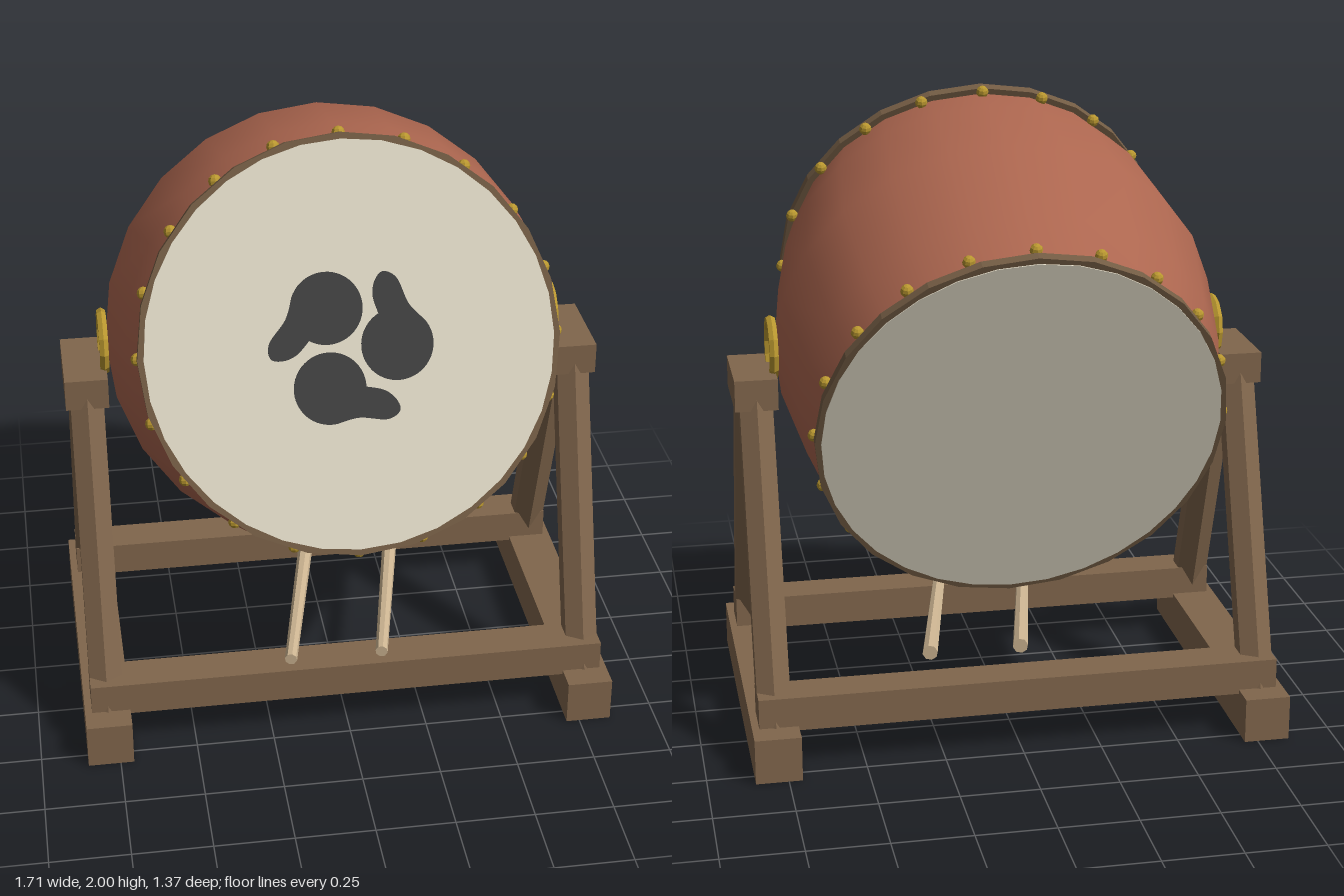
import * as THREE from 'three';

const mat = (name, color, flat = false) => {
  const m = new THREE.MeshStandardMaterial({ color, flatShading: flat });
  m.name = name;
  return m;
};

export function createModel() {
  const wood = mat('wood', 0x80664c, true);
  const rimWood = mat('rim wood', 0x725b43, true);
  const red = mat('red lacquer', 0xac664f);
  const skin = mat('drum skin', 0xe0d9c5);
  const ink = mat('ink', 0x404040);
  const gold = mat('brass', 0xb8962f, true);
  const pale = mat('pale wood', 0xcdb592, true);

  const model = new THREE.Group();
  model.name = 'drumOnStand';
  const add = (parent, name, geometry, material, x = 0, y = 0, z = 0) => {
    const mesh = new THREE.Mesh(geometry, material);
    mesh.name = name;
    mesh.position.set(x, y, z);
    parent.add(mesh);
    return mesh;
  };
  // Tapered rod between two points
  const rod = (parent, name, a, b, rA, rB, sides, material) => {
    const from = new THREE.Vector3(...a), to = new THREE.Vector3(...b);
    const dir = to.clone().sub(from);
    const mesh = add(parent, name, new THREE.CylinderGeometry(rB, rA, dir.length(), sides), material);
    mesh.position.copy(from).add(to).multiplyScalar(0.5);
    mesh.quaternion.setFromUnitVectors(new THREE.Vector3(0, 1, 0), dir.normalize());
    return mesh;
  };

  // Drum, its axis along local z, tilted upwards
  const drum = new THREE.Group();
  drum.name = 'drum';
  drum.position.y = 1.23;
  drum.rotation.x = -THREE.MathUtils.degToRad(20);
  model.add(drum);

  const profile = [[0.615, -0.475], [0.66, -0.32], [0.706, 0], [0.66, 0.32], [0.615, 0.475]]
    .map(([r, u]) => new THREE.Vector2(r, u));
  add(drum, 'barrel', new THREE.LatheGeometry(profile, 24).rotateX(Math.PI / 2), red);

  for (const s of [1, -1]) {
    const end = s > 0 ? 'front' : 'back';
    add(drum, end + 'Rim', new THREE.CylinderGeometry(0.636, 0.636, 0.03, 24).rotateX(Math.PI / 2), rimWood, 0, 0, s * 0.485);
    add(drum, end + 'Head', new THREE.CylinderGeometry(0.617, 0.617, 0.006, 32).rotateX(Math.PI / 2), skin, 0, 0, s * 0.5);
    for (let i = 0; i < 20; i++) {
      const a = (i / 20) * Math.PI * 2;
      add(drum, end + 'Stud', new THREE.SphereGeometry(0.02, 8, 6), gold,
        Math.sin(a) * 0.633, Math.cos(a) * 0.633, s * 0.452);
    }
  }

  // Painted swirl: three comma shapes, each a disc with a curved tail
  const comma = new THREE.Shape();
  comma.absarc(0.139, 0, 0.109, 0.7, 2.08 - Math.PI * 2, true);
  comma.splineThru([[0.071, 0.15], [0.08, 0.195], [0.106, 0.22], [0.146, 0.197], [0.178, 0.12], [0.222, 0.07]]
    .map(([x, y]) => new THREE.Vector2(x, y)));
  const commaGeometry = new THREE.ExtrudeGeometry(comma, { depth: 0.004, bevelEnabled: false, curveSegments: 20 });
  for (let i = 0; i < 3; i++) {
    add(drum, 'swirl', commaGeometry, ink, 0, 0, 0.502).rotation.z = (i * Math.PI * 2) / 3;
  }

  // Stand: a foot, A-frame, cap and brass ring on each side
  const stand = new THREE.Group();
  stand.name = 'stand';
  model.add(stand);
  for (const s of [1, -1]) {
    add(stand, 'foot', new THREE.BoxGeometry(0.145, 0.145, 1.11), wood, s * 0.78, 0.0725, 0);
    add(stand, 'cap', new THREE.BoxGeometry(0.135, 0.1, 0.29), wood, s * 0.778, 1.12, 0);
    for (const f of [1, -1]) {
      rod(stand, 'leg', [s * 0.778, 0.1, f * 0.432], [s * 0.778, 1.13, f * 0.073], 0.06, 0.06, 6, wood);
    }
    add(stand, 'ring', new THREE.TorusGeometry(0.09, 0.016, 6, 12).rotateY(Math.PI / 2), gold, s * 0.715, 1.23, 0);
  }
  for (const f of [1, -1]) {
    add(stand, 'crossBeam', new THREE.BoxGeometry(1.66, 0.11, 0.13), wood, 0, 0.186, f * 0.408);
  }

  // Drumsticks resting on the front beam
  for (const x of [-0.185, 0.11]) {
    rod(model, 'drumstick', [x, 0.262, 0.44], [x + 0.15, 0.262, -0.26], 0.02, 0.025, 8, pale);
  }
  return model;
}
